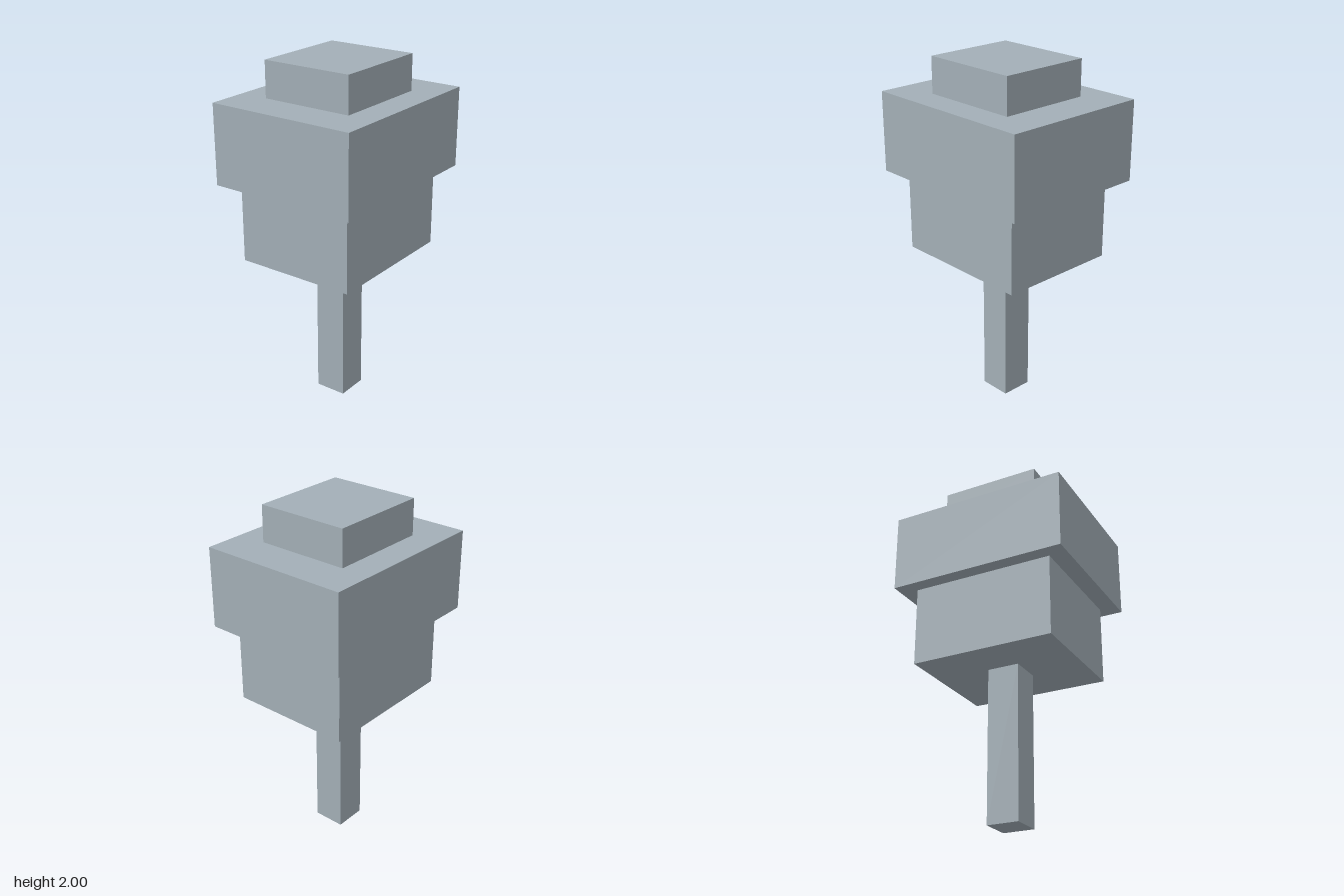
import * as THREE from 'three';

export function createModel() {
  const group = new THREE.Group();
  const greyBlue = new THREE.MeshStandardMaterial({ color: 0xa3afb7 });
  greyBlue.name = 'greyBlue';

  // Stacked blocks: name, width, depth, bottom, top
  const blocks = [
    ['trunk', 0.185, 0.185, 0, 0.88],
    ['lowerCrown', 0.83, 0.705, 0.88, 1.34],
    ['upperCrown', 1.036, 0.868, 1.34, 1.795],
    ['crownCap', 0.58, 0.535, 1.795, 2],
  ];
  for (const [name, width, depth, bottom, top] of blocks) {
    const mesh = new THREE.Mesh(new THREE.BoxGeometry(width, top - bottom, depth), greyBlue);
    mesh.name = name;
    mesh.position.y = (bottom + top) / 2;
    group.add(mesh);
  }
  return group;
}
